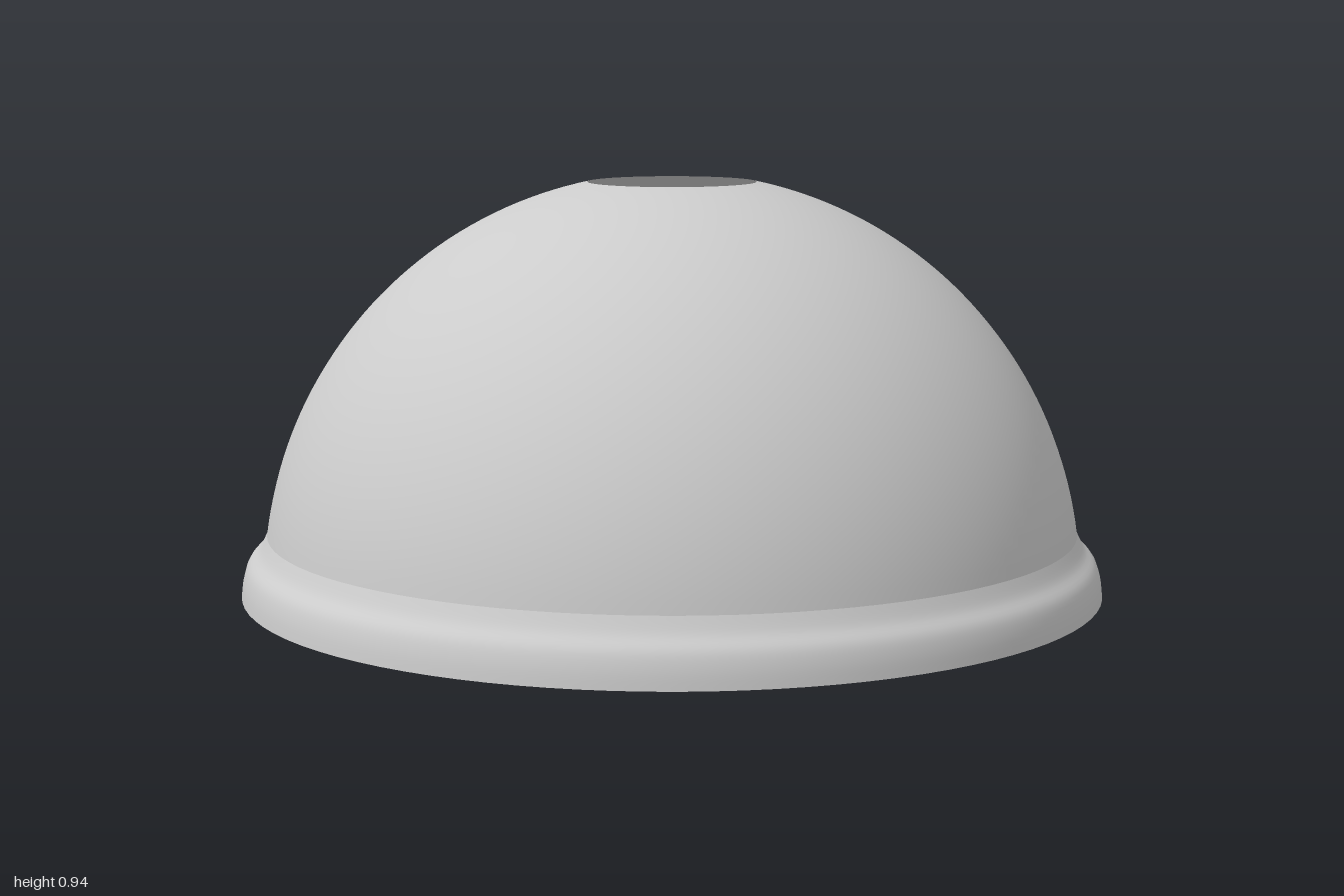
import * as THREE from 'three';

const SEGMENTS = 96;
const CENTRE_Y = 0.037; // centre height of the dome's sphere
const RADIUS = 0.948;
const HOLE_RADIUS = 0.195;
const SHOULDER_Y = 0.16; // where the dome meets the flared rim

export function createModel() {
  const group = new THREE.Group();
  group.name = 'domeShade';
  const material = new THREE.MeshStandardMaterial({ color: 0xcccccc, side: THREE.DoubleSide });

  const addLathe = (name, profile) => {
    const mesh = new THREE.Mesh(new THREE.LatheGeometry(profile, SEGMENTS), material);
    mesh.name = name;
    group.add(mesh);
  };

  // Thin spherical dome, open at the top
  const start = Math.asin((SHOULDER_Y - CENTRE_Y) / RADIUS);
  const end = Math.acos(HOLE_RADIUS / RADIUS);
  const dome = [];
  for (let i = 0; i <= 40; i++) {
    const a = THREE.MathUtils.lerp(start, end, i / 40);
    dome.push(new THREE.Vector2(RADIUS * Math.cos(a), CENTRE_Y + RADIUS * Math.sin(a)));
  }
  addLathe('dome', dome);

  // Flared rim, open at the bottom
  const rim = new THREE.SplineCurve([
    [1, 0.02], [0.995, 0.06], [0.983, 0.096], [0.958, 0.125], [dome[0].x, SHOULDER_Y],
  ].map(([x, y]) => new THREE.Vector2(x, y)));
  addLathe('rim', rim.getPoints(16));

  return group;
}
